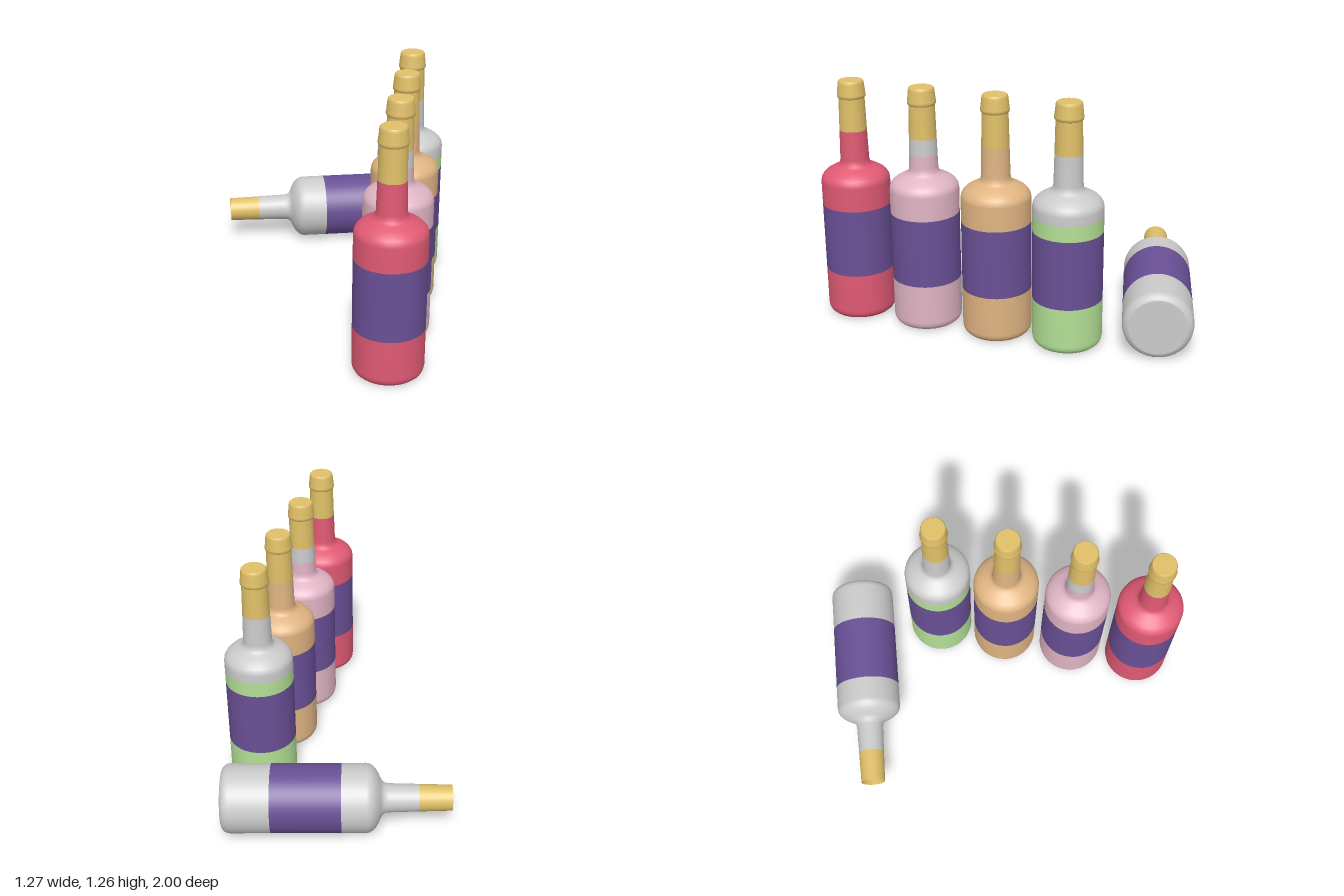
import * as THREE from 'three';

const GREY = 0xcccccc, GOLD = 0xe0c068, PURPLE = 0x6a5096;
const RED = 0xe05a74, PINK = 0xe0b4c4, TAN = 0xe0b482, GREEN = 0xb4e096;
const LABEL = [0.25, 0.61], FOIL = 1.005, MOUTH = 1.175, SIDES = 48;

// Bottle outline as [radius, height], from base edge to mouth
const OUTLINE = [
  [0.146, 0], [0.158, 0.005], [0.168, 0.014], [0.175, 0.027], [0.178, 0.045],
  [0.178, 0.735], [0.175, 0.752], [0.166, 0.768], [0.15, 0.784], [0.125, 0.799],
  [0.1, 0.81], [0.085, 0.819], [0.077, 0.832], [0.074, 0.85],
  [0.07, 1.005], [0.066, 1.175],
];

const material = (color) => new THREE.MeshStandardMaterial({ color, side: THREE.DoubleSide });

function radiusAt(y) {
  for (let i = 1; i < OUTLINE.length; i++) {
    const [r0, y0] = OUTLINE[i - 1], [r1, y1] = OUTLINE[i];
    if (y <= y1) return r0 + (r1 - r0) * (y - y0) / (y1 - y0);
  }
  return OUTLINE[OUTLINE.length - 1][0];
}

function lathe(name, points, color) {
  const geometry = new THREE.LatheGeometry(points.map(([r, y]) => new THREE.Vector2(r, y)), SIDES);
  const mesh = new THREE.Mesh(geometry, material(color));
  mesh.name = name;
  return mesh;
}

// One coloured slice of the bottle wall between two heights
function band(name, from, to, color) {
  const inside = OUTLINE.filter(([, y]) => y > from + 1e-4 && y < to - 1e-4);
  return lathe(name, [[radiusAt(from), from], ...inside, [radiusAt(to), to]], color);
}

function disc(name, radius, y, up, color) {
  const mesh = new THREE.Mesh(new THREE.CircleGeometry(radius, SIDES), material(color));
  mesh.rotation.x = up ? -Math.PI / 2 : Math.PI / 2;
  mesh.position.y = y;
  mesh.name = name;
  return mesh;
}

// Bottle filled with a coloured drink up to the given level
function createBottle(name, color, level, baseColor, sealed) {
  const bottle = new THREE.Group();
  bottle.name = name;
  bottle.add(
    disc('base', OUTLINE[0][0], 0, false, baseColor),
    band('lowerBody', 0, LABEL[0], color),
    band('label', LABEL[0], LABEL[1], PURPLE),
    band('upperBody', LABEL[1], level, color),
    band('foil', FOIL, MOUTH, GOLD),
  );
  if (level < FOIL) bottle.add(band('emptyGlass', level, FOIL, GREY));
  if (sealed) {
    // Cap: small collar, then a tapering top with a soft edge
    bottle.add(
      lathe('capCollar', [[0.066, MOUTH], [0.072, 1.182], [0.073, 1.192], [0.071, 1.202]], GOLD),
      lathe('cap', [[0.071, 1.202], [0.066, 1.25], [0.064, 1.26], [0.06, 1.265]], GOLD),
      disc('capTop', 0.06, 1.265, true, GOLD),
    );
  }
  return bottle;
}

export function createModel() {
  const model = new THREE.Group();
  model.name = 'bottles';

  // Row of sealed bottles
  const row = [
    ['redBottle', 0.82, RED, FOIL, RED],
    ['pinkBottle', 0.425, PINK, 0.92, PINK],
    ['tanBottle', 0.03, TAN, FOIL, TAN],
    ['greenBottle', -0.352, GREEN, 0.69, GREY],
  ];
  for (const [name, z, color, level, baseColor] of row) {
    const bottle = createBottle(name, color, level, baseColor, true);
    bottle.position.set(0.457, 0, z);
    model.add(bottle);
  }

  // Open, empty bottle lying on its side
  const fallen = createBottle('fallenBottle', GREY, FOIL, GREY, false);
  fallen.rotation.set(0, THREE.MathUtils.degToRad(15), Math.PI / 2);
  fallen.position.set(0.513, 0.178, -0.84);
  model.add(fallen);

  return model;
}
